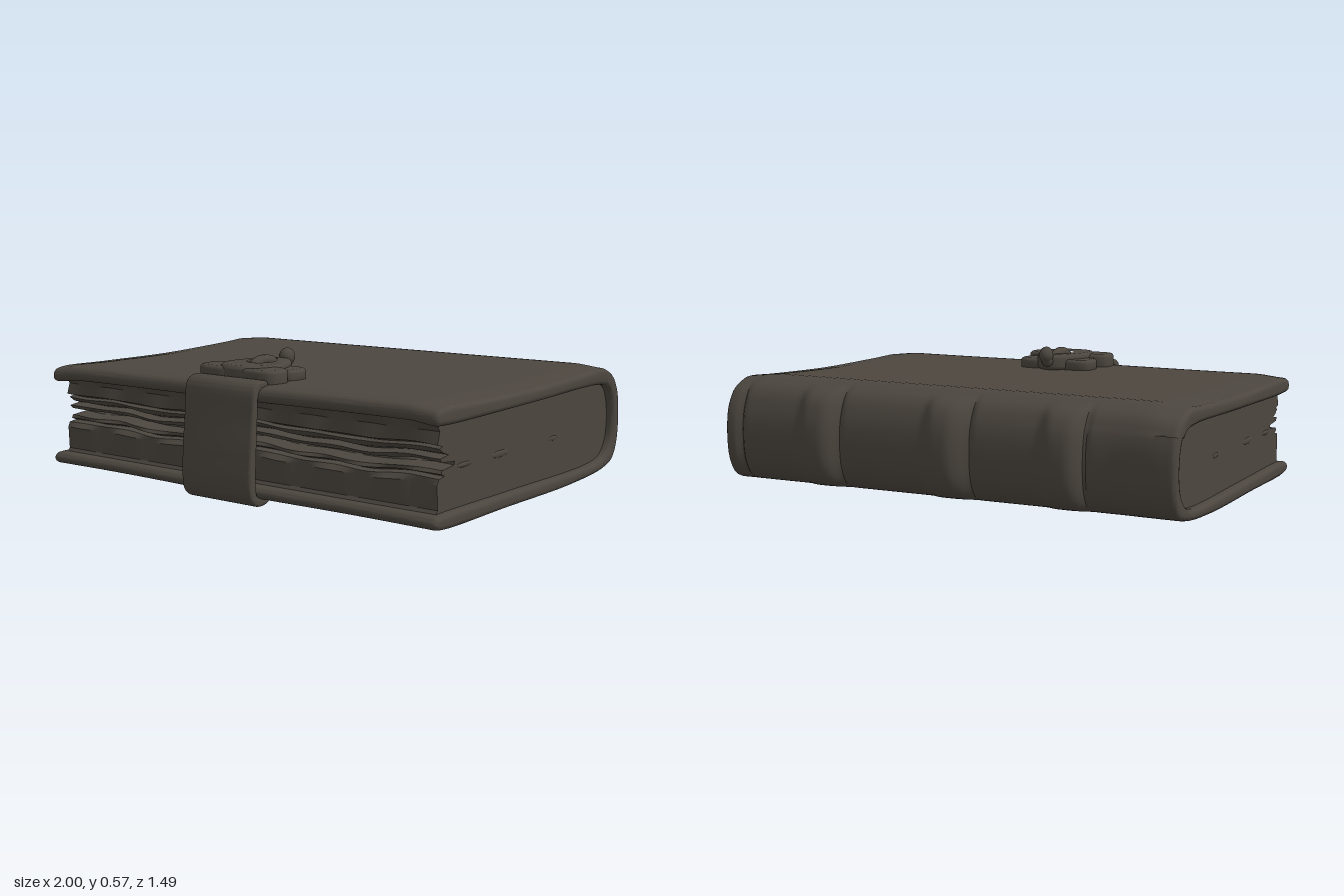
import * as THREE from 'three';
import { toCreasedNormals } from 'three/addons/utils/BufferGeometryUtils.js';

const leather = new THREE.MeshStandardMaterial({ color: 0x4c463f });
leather.name = 'dark leather';

function add(parent, name, geometry) {
  const mesh = new THREE.Mesh(geometry, leather);
  mesh.name = name;
  parent.add(mesh);
  return mesh;
}

// Smooth closed outline through [a, b] points
function smoothLoop(points, samples) {
  const curve = new THREE.CatmullRomCurve3(
    points.map(([a, b]) => new THREE.Vector3(a, b, 0)), true, 'centripetal');
  return curve.getPoints(samples).slice(0, -1).map((p) => new THREE.Vector2(p.x, p.y));
}

// Sweep a [z, y] outline along x from -half to half, then bend it by a rule
function sweepX(outline, half, bevel, steps, rule, crease = 0.7) {
  const shape = new THREE.Shape(outline.map((p) => new THREE.Vector2(-p.x, p.y)));
  const geo = new THREE.ExtrudeGeometry(shape, {
    depth: 2 * (half - bevel), steps, bevelEnabled: bevel > 0, bevelSize: bevel,
    bevelThickness: bevel, bevelOffset: -bevel, bevelSegments: 3,
  });
  geo.translate(0, 0, -(half - bevel));
  geo.rotateY(Math.PI / 2);
  if (rule) {
    const pos = geo.attributes.position;
    const v = new THREE.Vector3();
    for (let i = 0; i < pos.count; i++) {
      v.fromBufferAttribute(pos, i);
      rule(v);
      pos.setXYZ(i, v.x, v.y, v.z);
    }
  }
  return toCreasedNormals(geo, crease);
}

// Flat piece lying on the cover, drawn as [x, z] with optional holes
function plate(outline, holes, y, height, bevel) {
  const flip = (pts) => pts.map((p) => new THREE.Vector2(p.x, -p.y));
  const shape = new THREE.Shape(flip(outline));
  holes.forEach((h) => shape.holes.push(new THREE.Path(flip(h))));
  const geo = new THREE.ExtrudeGeometry(shape, {
    depth: height - 2 * bevel, bevelSize: bevel, bevelThickness: bevel,
    bevelOffset: -bevel, bevelSegments: 4,
  });
  geo.rotateX(-Math.PI / 2);
  geo.translate(0, y + bevel, 0);
  return toCreasedNormals(geo, 0.8);
}

// Raised cords and end caps of the spine
function spineBulge(x) {
  let d = 0;
  for (const c of [-0.54, -0.04, 0.54]) d += 0.042 * Math.exp(-Math.pow((x - c) / 0.075, 4));
  for (const c of [-0.63, -0.145, 0.445, 0.925]) d -= 0.018 * Math.exp(-Math.pow((x - c) / 0.014, 2));
  return d + 0.02 * THREE.MathUtils.smoothstep(-x, 0.7, 0.95);
}

function createCover(book) {
  const profile = smoothLoop([
    [0.695, 0.43], [0.685, 0.455], [0.655, 0.467], [0.4, 0.466], [0, 0.463], [-0.4, 0.475],
    [-0.55, 0.481], [-0.59, 0.47], [-0.65, 0.435], [-0.69, 0.36], [-0.703, 0.25],
    [-0.69, 0.14], [-0.65, 0.075], [-0.57, 0.047], [-0.3, 0.026], [0.2, 0.024],
    [0.65, 0.024], [0.69, 0.034], [0.7, 0.052], [0.685, 0.072], [0.65, 0.077],
    [0.1, 0.077], [-0.5, 0.082], [-0.59, 0.105], [-0.635, 0.16], [-0.65, 0.25],
    [-0.635, 0.34], [-0.6, 0.395], [-0.54, 0.412], [0, 0.408], [0.65, 0.404], [0.685, 0.41],
  ], 160);
  add(book, 'cover', sweepX(profile, 1, 0.018, 160, (v) => {
    v.z -= THREE.MathUtils.smoothstep(-v.z, 0.56, 0.68) * spineBulge(v.x);
    // edges of the top board dip towards the ends, front edge is slightly bowed
    if (v.y > 0.38) v.y += 0.008 * v.x - 0.012 * THREE.MathUtils.smoothstep(Math.abs(v.x), 0.85, 1);
    if (v.z > 0.6) v.z += 0.006 * Math.cos(v.x * 5) - 0.008;
  }));
}

function createPages(book) {
  // Fore edge is split into uneven gatherings with a deep gap in the middle
  const fore = [
    [0.645, 0.07], [0.63, 0.09], [0.632, 0.18], [0.62, 0.2], [0.585, 0.205], [0.615, 0.215],
    [0.61, 0.228], [0.53, 0.236], [0.52, 0.25], [0.6, 0.257], [0.615, 0.272], [0.565, 0.28],
    [0.6, 0.29], [0.625, 0.31], [0.6, 0.316], [0.63, 0.326], [0.625, 0.375], [0.645, 0.41],
  ];
  const back = [[-0.54, 0.418], [-0.6, 0.4], [-0.645, 0.34], [-0.66, 0.25],
    [-0.645, 0.16], [-0.6, 0.1], [-0.52, 0.075]];
  const outline = [...fore, ...back].map(([z, y]) => new THREE.Vector2(z, y));
  add(book, 'pages', sweepX(outline, 0.965, 0, 90, (v) => {
    if (v.z > 0.4 && v.y > 0.1 && v.y < 0.38) {
      const wave = Math.sin(v.x * 7 + 1) + 0.6 * Math.sin(v.x * 17);
      v.z += 0.006 * Math.sin(v.x * 23 + v.y * 90);
      v.y += 0.006 * wave * Math.sin((v.y - 0.1) / 0.28 * Math.PI);
    }
  }, 0.5));
  // Small dark slits between the gatherings on both ends
  for (const side of [-1, 1]) {
    for (const [z, length, height] of [[0.46, 0.11, 0.02], [0.21, 0.13, 0.028], [-0.19, 0.07, 0.02]]) {
      const slit = add(book, 'pageRipple', new THREE.SphereGeometry(0.5, 16, 8));
      slit.scale.set(0.012, height, length);
      slit.position.set(side * 0.963, 0.232, z);
    }
  }
}

function createStrap(book) {
  const outline = smoothLoop([
    [0.63, 0.478], [0.645, 0.49], [0.69, 0.484], [0.715, 0.46], [0.726, 0.36], [0.742, 0.2],
    [0.746, 0.08], [0.735, 0.03], [0.705, 0.004], [0.665, 0], [0.63, 0.012], [0.63, 0.026],
    [0.66, 0.032], [0.695, 0.04], [0.705, 0.08], [0.702, 0.2], [0.692, 0.36],
    [0.685, 0.44], [0.665, 0.458], [0.635, 0.462],
  ], 100);
  add(book, 'strap', sweepX(outline, 0.18, 0.01, 1));
}

function createClasp(book) {
  const clasp = new THREE.Group();
  clasp.name = 'clasp';
  book.add(clasp);
  // Four-lobed backing plate
  for (const side of [-1, 1]) {
    const lobe = (cx, cz, rx, rz) => smoothLoop(Array.from({ length: 12 }, (_, i) => {
      const a = i / 12 * Math.PI * 2;
      const soft = (t) => Math.sign(t) * Math.pow(Math.abs(t), 0.7);
      return [side * cx + rx * soft(Math.cos(a)), cz + rz * soft(Math.sin(a))];
    }), 48);
    add(clasp, 'frontLobe', plate(lobe(0.105, 0.572, 0.095, 0.07), [], 0.455, 0.07, 0.016));
    add(clasp, 'backLobe', plate(lobe(0.09, 0.433, 0.085, 0.075), [], 0.455, 0.055, 0.014));
  }
  // Egg-shaped ring with an opening
  const egg = smoothLoop([[0, 0.31], [0.05, 0.335], [0.095, 0.41], [0.12, 0.49], [0.115, 0.565],
    [0.07, 0.625], [0, 0.64], [-0.07, 0.625], [-0.115, 0.565], [-0.12, 0.49], [-0.095, 0.41],
    [-0.05, 0.335]], 60);
  const opening = smoothLoop([[0, 0.37], [0.05, 0.4], [0.072, 0.46], [0.05, 0.52], [0, 0.545],
    [-0.05, 0.52], [-0.072, 0.46], [-0.05, 0.4]], 40);
  add(clasp, 'ring', plate(egg, [opening], 0.465, 0.068, 0.016));
  // Staple arching through the opening, with a cross pin
  const path = (pts) => new THREE.CatmullRomCurve3(pts.map((p) => new THREE.Vector3(...p)));
  add(clasp, 'staple', new THREE.TubeGeometry(
    path([[0, 0.47, 0.53], [0, 0.52, 0.51], [0, 0.535, 0.45], [0, 0.52, 0.39], [0, 0.47, 0.37]]),
    24, 0.022, 10));
  const pin = add(clasp, 'crossPin', new THREE.CapsuleGeometry(0.014, 0.1, 4, 10));
  pin.rotation.z = Math.PI / 2;
  pin.position.set(0, 0.5, 0.45);
  // Curled finger tab
  add(clasp, 'tab', new THREE.TubeGeometry(
    path([[0, 0.495, 0.385], [0, 0.497, 0.34], [0, 0.512, 0.308], [0, 0.54, 0.302]]), 20, 0.026, 12));
  const knob = add(clasp, 'knob', new THREE.SphereGeometry(0.036, 18, 14));
  knob.scale.set(0.85, 1, 1);
  knob.position.set(0, 0.535, 0.302);
}

export function createModel() {
  const book = new THREE.Group();
  book.name = 'book';
  createCover(book);
  createPages(book);
  createStrap(book);
  createClasp(book);
  return book;
}
